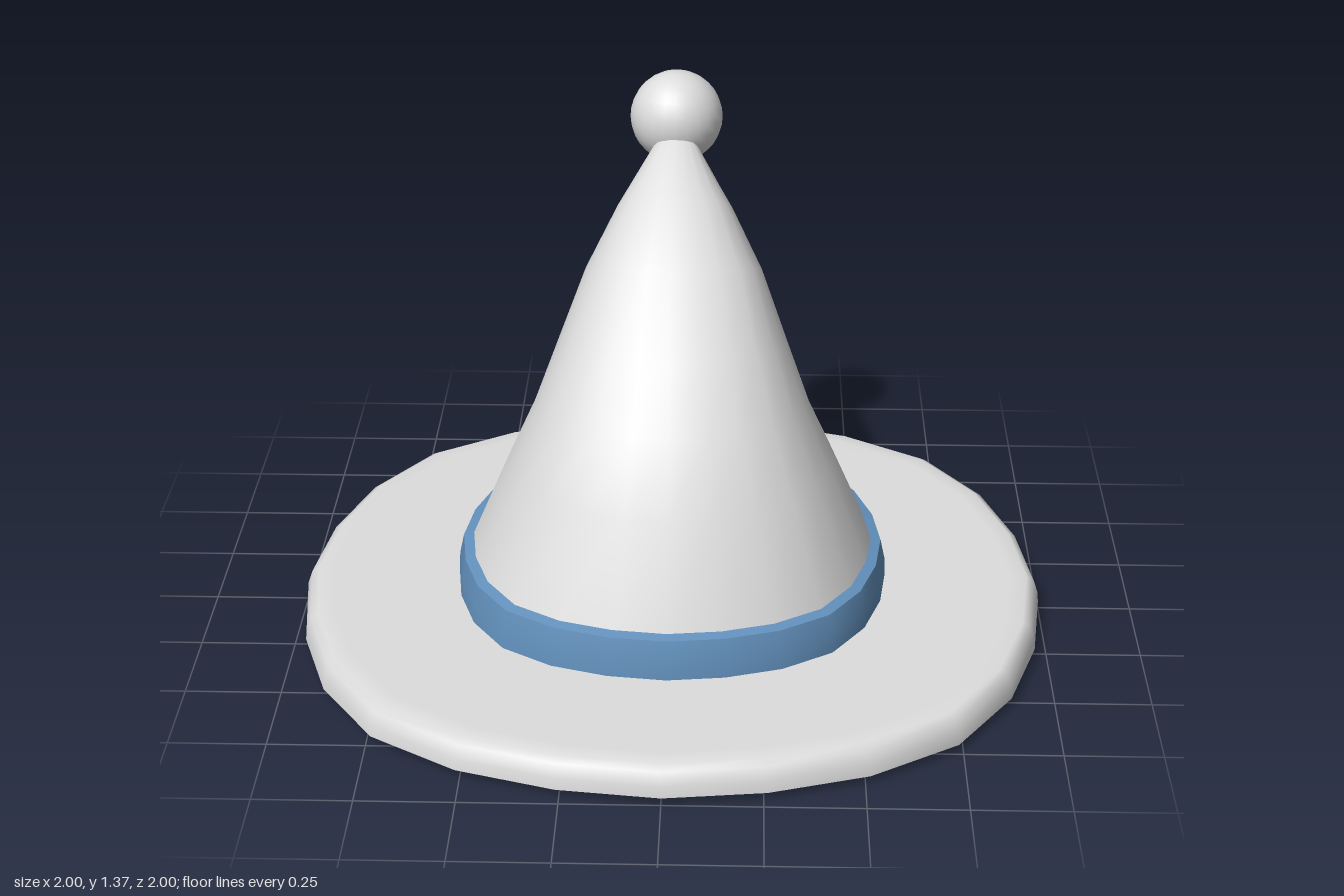
import * as THREE from 'three';

const SEG = 24;

// Slightly squared-off circle shared by brim, band and crown
const bulge = (t) => 1 + 0.044 * Math.sin(2 * t) ** 4;

// Skin a list of rings; each ring is { c: [y, z], w: half width, d: [dy, dz] front offset }
function loft(rings) {
  const pos = [], index = [];
  for (const { c, w, d } of rings) {
    for (let j = 0; j < SEG; j++) {
      const t = (j / SEG) * Math.PI * 2, f = bulge(t);
      const s = Math.sin(t) * f, k = Math.cos(t) * f;
      pos.push(w * s, c[0] + d[0] * k, c[1] + d[1] * k);
    }
  }
  for (let i = 0; i < rings.length - 1; i++) {
    for (let j = 0; j < SEG; j++) {
      const a = i * SEG + j, b = i * SEG + ((j + 1) % SEG);
      index.push(a, b, b + SEG, a, b + SEG, a + SEG);
    }
  }
  const g = new THREE.BufferGeometry();
  g.setAttribute('position', new THREE.Float32BufferAttribute(pos, 3));
  g.setIndex(index);
  g.computeVertexNormals();
  return g;
}

// Upright profile of [radius, y] pairs
const revolve = (pts) => loft(pts.map(([r, y]) => ({ c: [y, 0], w: r, d: [0, r] })));

export function createModel() {
  const felt = new THREE.MeshStandardMaterial({ color: 0xdddddd, side: THREE.DoubleSide });
  felt.name = 'paleFelt';
  const ribbon = new THREE.MeshStandardMaterial({ color: 0x6391bd, side: THREE.DoubleSide });
  ribbon.name = 'blueRibbon';

  const hat = new THREE.Group();
  hat.name = 'pointedHat';
  const add = (name, geometry, material) => {
    const m = new THREE.Mesh(geometry, material);
    m.name = name;
    hat.add(m);
    return m;
  };

  // Brim: flat top with a rolled lip, and a dished underside around the head opening
  add('brimTop', revolve([[1, 0.02], [0.997, 0.05], [0.985, 0.085], [0.965, 0.097], [0.92, 0.1], [0.56, 0.1]]), felt);
  add('brimUnderside', revolve([[0.575, 0.1], [0.575, 0.04], [0.585, 0], [0.7, 0.008], [0.85, 0.03], [0.97, 0.075]]), felt);

  // Ribbon wall and its narrow top edge
  add('band', revolve([[0.58, 0.095], [0.577, 0.15], [0.565, 0.205]]), ribbon);
  add('bandTopEdge', revolve([[0.565, 0.205], [0.535, 0.212]]), ribbon);

  // Crown: tilted rings given by front [z, y], back [z, y] and half width
  const crown = [
    [[0.54, 0.205], [-0.54, 0.205], 0.54],
    [[0.43, 0.48], [-0.43, 0.425], 0.435],
    [[0.33, 0.65], [-0.39, 0.55], 0.365],
    [[0.2, 0.82], [-0.375, 0.68], 0.305],
    [[0, 1.0], [-0.38, 0.83], 0.235],
    [[-0.15, 1.13], [-0.4, 0.98], 0.155],
    [[-0.36, 1.225], [-0.44, 1.13], 0.06],
    [[-0.45, 1.24], [-0.46, 1.23], 0.01],
  ].map(([f, b, w]) => ({
    c: [(f[1] + b[1]) / 2, (f[0] + b[0]) / 2],
    w,
    d: [(f[1] - b[1]) / 2, (f[0] - b[0]) / 2],
  }));
  add('crown', loft(crown), felt);

  // Pompom on the bent tip
  add('pompom', new THREE.SphereGeometry(0.125, 24, 16), felt).position.set(0, 1.245, -0.47);

  return hat;
}
